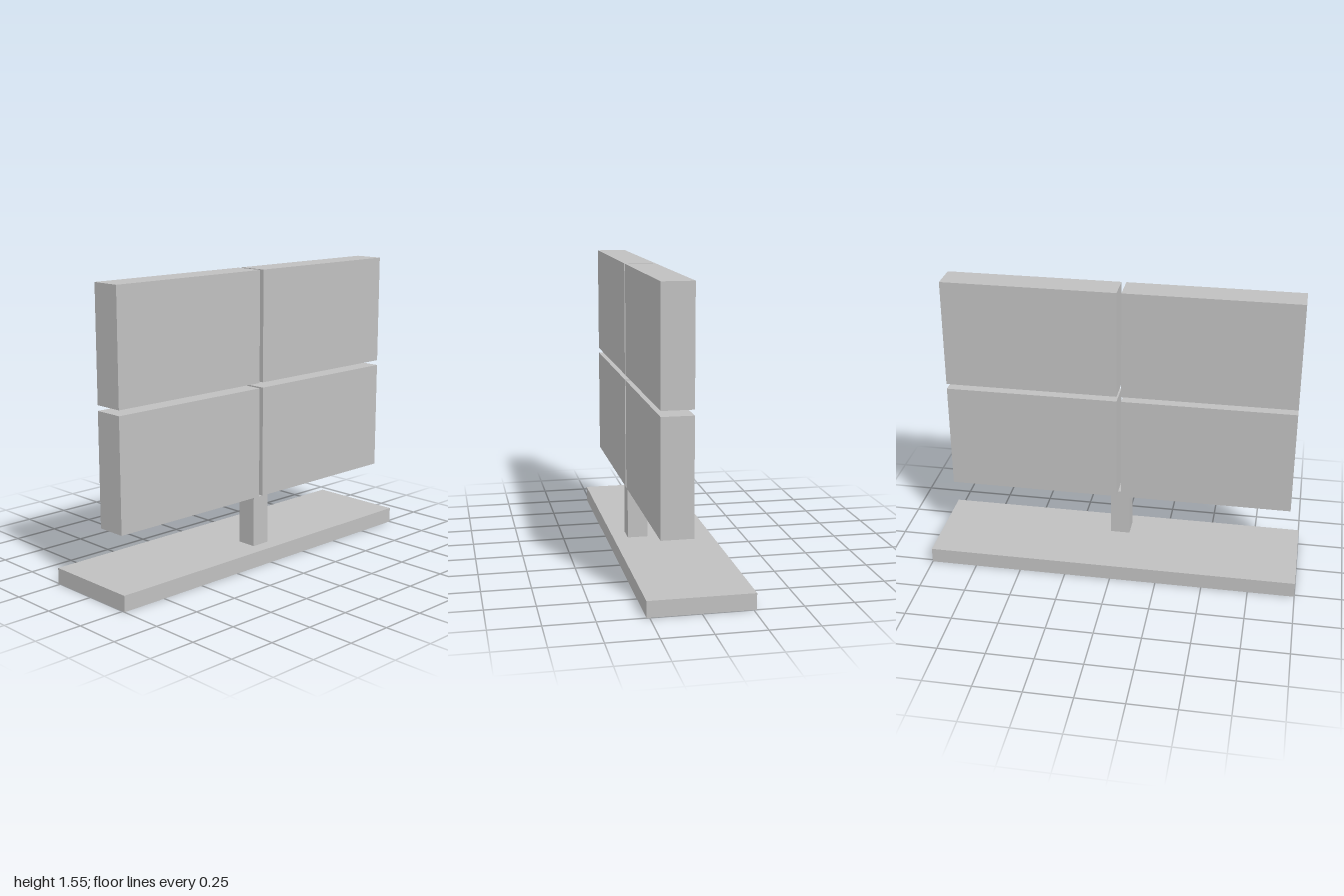
import * as THREE from 'three';

export function createModel() {
  const group = new THREE.Group();
  const grey = new THREE.MeshStandardMaterial({ color: 0xc0c0c0 });
  grey.name = 'light grey';

  // Box given by its extents on each axis
  const addBox = (name, [x0, x1], [y0, y1], [z0, z1]) => {
    const mesh = new THREE.Mesh(new THREE.BoxGeometry(x1 - x0, y1 - y0, z1 - z0), grey);
    mesh.position.set((x0 + x1) / 2, (y0 + y1) / 2, (z0 + z1) / 2);
    mesh.name = name;
    group.add(mesh);
  };

  // Flat foot and short post
  addBox('base', [-1, 1], [0, 0.083], [-0.265, 0.265]);
  addBox('post', [-0.055, 0.05], [0.083, 0.35], [0.08, 0.187]);

  // Two by two grid of screens with narrow gaps
  const columns = { Right: [-0.946, -0.015], Left: [0.01, 0.942] };
  const rows = { lower: [0.35, 0.936], upper: [0.964, 1.55] };
  for (const [row, ys] of Object.entries(rows)) {
    for (const [column, xs] of Object.entries(columns)) {
      addBox(`${row}${column}Screen`, xs, ys, [0.027, 0.187]);
    }
  }
  return group;
}
